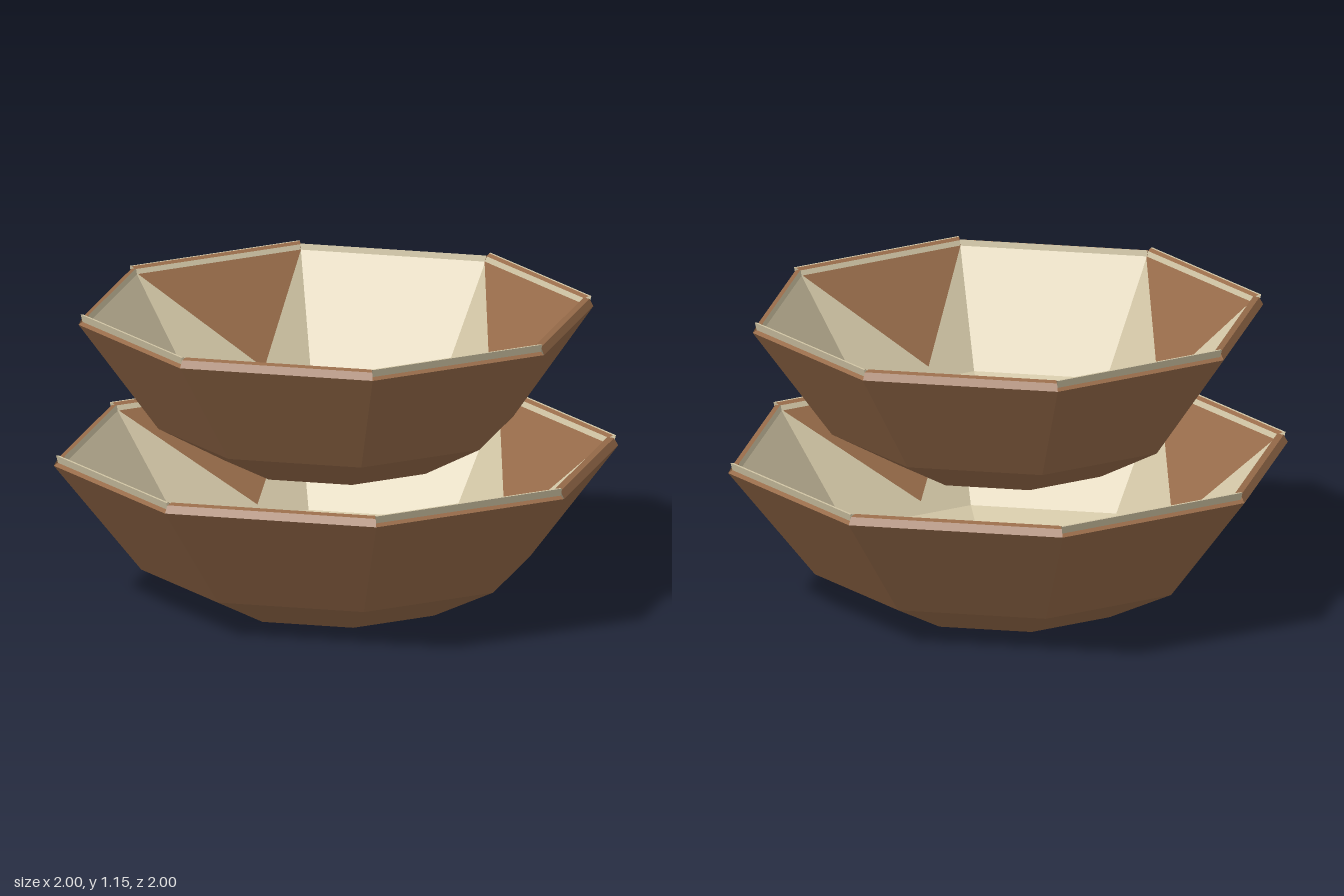
import * as THREE from 'three';

const wood = new THREE.MeshStandardMaterial({ color: 0x986c4a, flatShading: true, side: THREE.DoubleSide });
wood.name = 'brown wood';
const cream = new THREE.MeshStandardMaterial({ color: 0xd0c4a4, flatShading: true, side: THREE.DoubleSide });
cream.name = 'cream lining';

const ALL = [0, 1, 2, 3, 4, 5, 6, 7];
const DIAGONAL = [0, 2, 4, 6];
const STRAIGHT = [1, 3, 5, 7];

// Corner k of an octagon with the given apothem and height
function corner(k, [apothem, y]) {
  const t = (k + 0.5) * Math.PI / 4;
  const r = apothem / Math.cos(Math.PI / 8);
  return [r * Math.cos(t), y, r * Math.sin(t)];
}

function meshFrom(name, points, material) {
  const g = new THREE.BufferGeometry();
  g.setAttribute('position', new THREE.Float32BufferAttribute(points.flat(), 3));
  g.computeVertexNormals();
  const m = new THREE.Mesh(g, material);
  m.name = name;
  return m;
}

// Sweep a profile of [apothem, y] points along the chosen octagon sides
function band(name, profile, sides, material) {
  const pts = [];
  for (const k of sides) {
    for (let i = 0; i < profile.length - 1; i++) {
      const a = corner(k, profile[i]), b = corner(k, profile[i + 1]);
      const c = corner(k + 1, profile[i + 1]), d = corner(k + 1, profile[i]);
      if (profile[i][0] > 0) pts.push(a, c, d);
      if (profile[i + 1][0] > 0) pts.push(a, b, c);
    }
  }
  return meshFrom(name, pts, material);
}

// Brown triangles lying on the four diagonal inner walls
function cornerTriangles() {
  const pts = [];
  for (const k of DIAGONAL) {
    const rim = [0.952, 0.579];
    const t = (k + 1) * Math.PI / 4, a = 0.704, s = 0.07;
    const apex = [a * Math.cos(t) - s * Math.sin(t), 0.204, a * Math.sin(t) + s * Math.cos(t)];
    pts.push(corner(k, rim), apex, corner(k + 1, rim));
  }
  // wind each triangle so that it faces the bowl's axis
  for (let i = 0; i < pts.length; i += 3) [pts[i], pts[i + 2]] = [pts[i + 2], pts[i]];
  return meshFrom('cornerTriangles', pts, wood);
}

function bowl(name) {
  const g = new THREE.Group();
  g.name = name;
  g.add(
    band('outerShell', [[0, 0], [0.43, 0.01], [0.69, 0.145], [1, 0.565]], ALL, wood),
    band('innerLining', [[0.957, 0.577], [0.68, 0.16], [0.43, 0.025], [0, 0.022]], ALL, cream),
    // straight sides: bevelled wooden rim with a thin lining lip
    band('straightRim', [[1, 0.565], [0.985, 0.594], [0.962, 0.6]], STRAIGHT, wood),
    band('straightLip', [[0.962, 0.6], [0.957, 0.577]], STRAIGHT, cream),
    // diagonal sides: cream strip outside, wood on top, cream lip inside
    band('diagonalRimBase', [[1, 0.565], [0.985, 0.576]], DIAGONAL, wood),
    band('diagonalStrip', [[0.985, 0.576], [0.992, 0.605], [0.982, 0.605]], DIAGONAL, cream),
    band('diagonalRimTop', [[0.982, 0.605], [0.966, 0.596]], DIAGONAL, wood),
    band('diagonalLip', [[0.966, 0.596], [0.957, 0.577]], DIAGONAL, cream),
    cornerTriangles()
  );
  return g;
}

export function createModel() {
  const model = new THREE.Group();
  model.name = 'stackedBowls';
  const lower = bowl('lowerBowl');
  const upper = bowl('upperBowl');
  upper.scale.set(0.912, 1, 0.912);
  upper.position.y = 0.55;
  model.add(lower, upper);
  return model;
}
